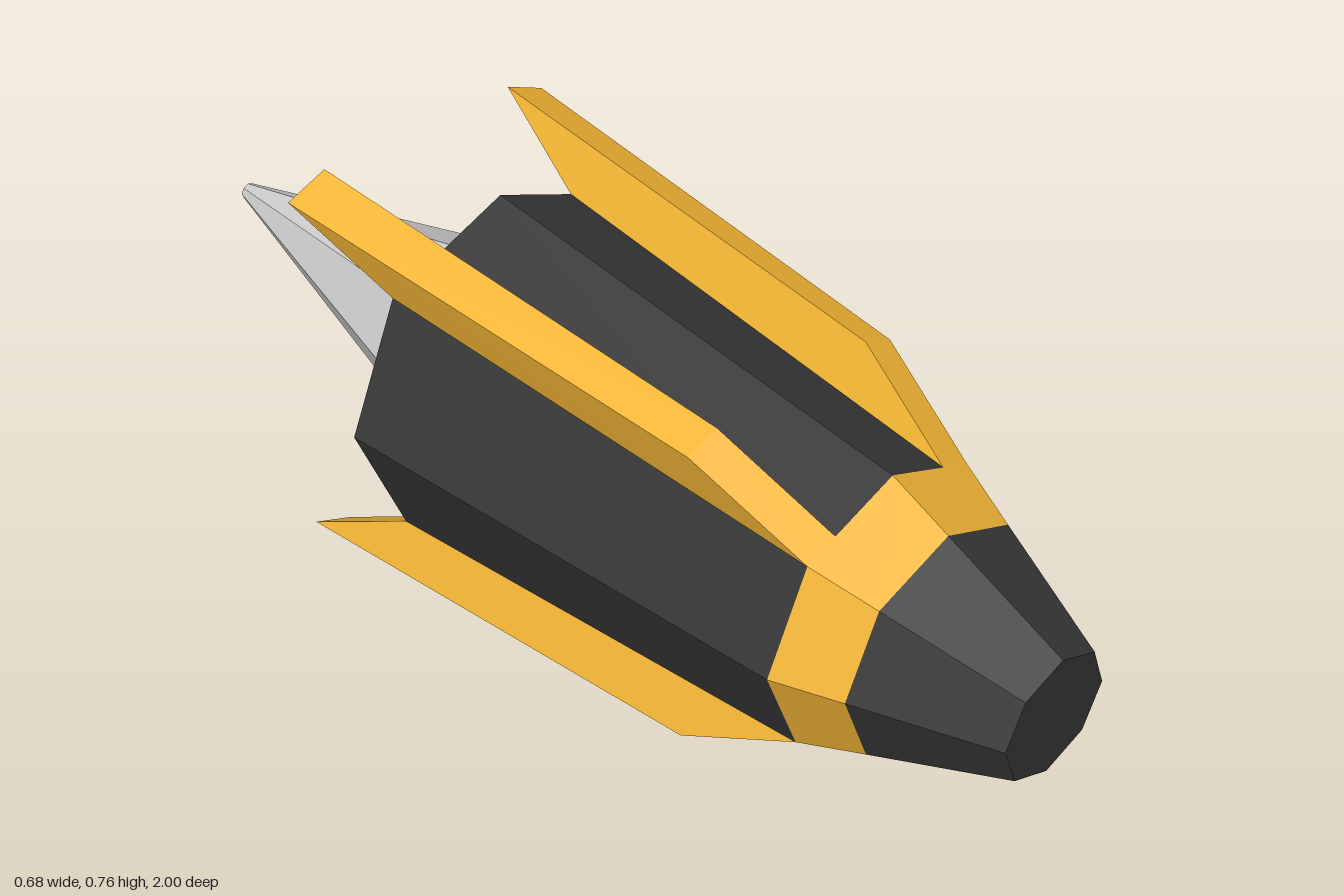
import * as THREE from 'three';
import { ConvexGeometry } from 'three/addons/geometries/ConvexGeometry.js';

const CY = 0.383; // height of the long axis
const material = (color) => new THREE.MeshStandardMaterial({ color, flatShading: true });

export function createModel() {
  const group = new THREE.Group();
  const dark = material(0x363636);
  const gold = material(0xf2b434);
  const grey = material(0xcccccc);

  const add = (name, geometry, mat) => {
    const mesh = new THREE.Mesh(geometry, mat);
    mesh.name = name;
    group.add(mesh);
    return mesh;
  };

  // Octagonal section along z, from (z0, r0) at the front to (z1, r1) at the back
  const section = (name, z0, r0, z1, r1, mat) => {
    const g = new THREE.CylinderGeometry(r0, r1, z0 - z1, 8, 1, true);
    g.rotateX(Math.PI / 2);
    add(name, g, mat).position.set(0, CY, (z0 + z1) / 2);
  };

  // Flat octagonal end cap
  const cap = (name, z, r, facing, mat) => {
    const mesh = add(name, new THREE.CircleGeometry(r, 8), mat);
    mesh.position.set(0, CY, z);
    if (facing < 0) mesh.rotation.y = Math.PI;
  };

  // Hull
  section('nose', 1, 0.113, 0.77, 0.208, dark);
  cap('noseCap', 1, 0.113, 1, dark);
  section('collar', 0.77, 0.208, 0.655, 0.256, gold);
  section('body', 0.655, 0.256, -0.24, 0.34, dark);
  cap('bodyBack', -0.24, 0.34, -1, dark);

  // Tail spike
  section('tailSpike', -0.24, 0.207, -1, 0.017, grey);
  cap('tailTip', -1, 0.017, -1, dark);

  // Fins: each stands on a hull face beside a diagonal edge.
  // Stations: z, outer corner x and height above the axis, fin width
  const stations = [
    [0.655, 0.181, 0.181, 0.064],
    [0.445, 0.225, 0.288, 0.065],
    [-0.455, 0.285, 0.347, 0.086],
    [-0.24, 0.2404, 0.2404, 0.086],
  ];
  const across = [-Math.cos(Math.PI / 8), Math.sin(Math.PI / 8)];
  for (const sy of [1, -1]) {
    for (const sx of [1, -1]) {
      const points = [];
      for (const [z, x, y, w] of stations) {
        for (const k of [0, w]) {
          points.push(new THREE.Vector3(sx * (x + across[0] * k), CY + sy * (y + across[1] * k), z));
        }
      }
      const name = (sy > 0 ? 'upper' : 'lower') + (sx > 0 ? 'Left' : 'Right') + 'Fin';
      add(name, new ConvexGeometry(points), gold);
    }
  }
  return group;
}
